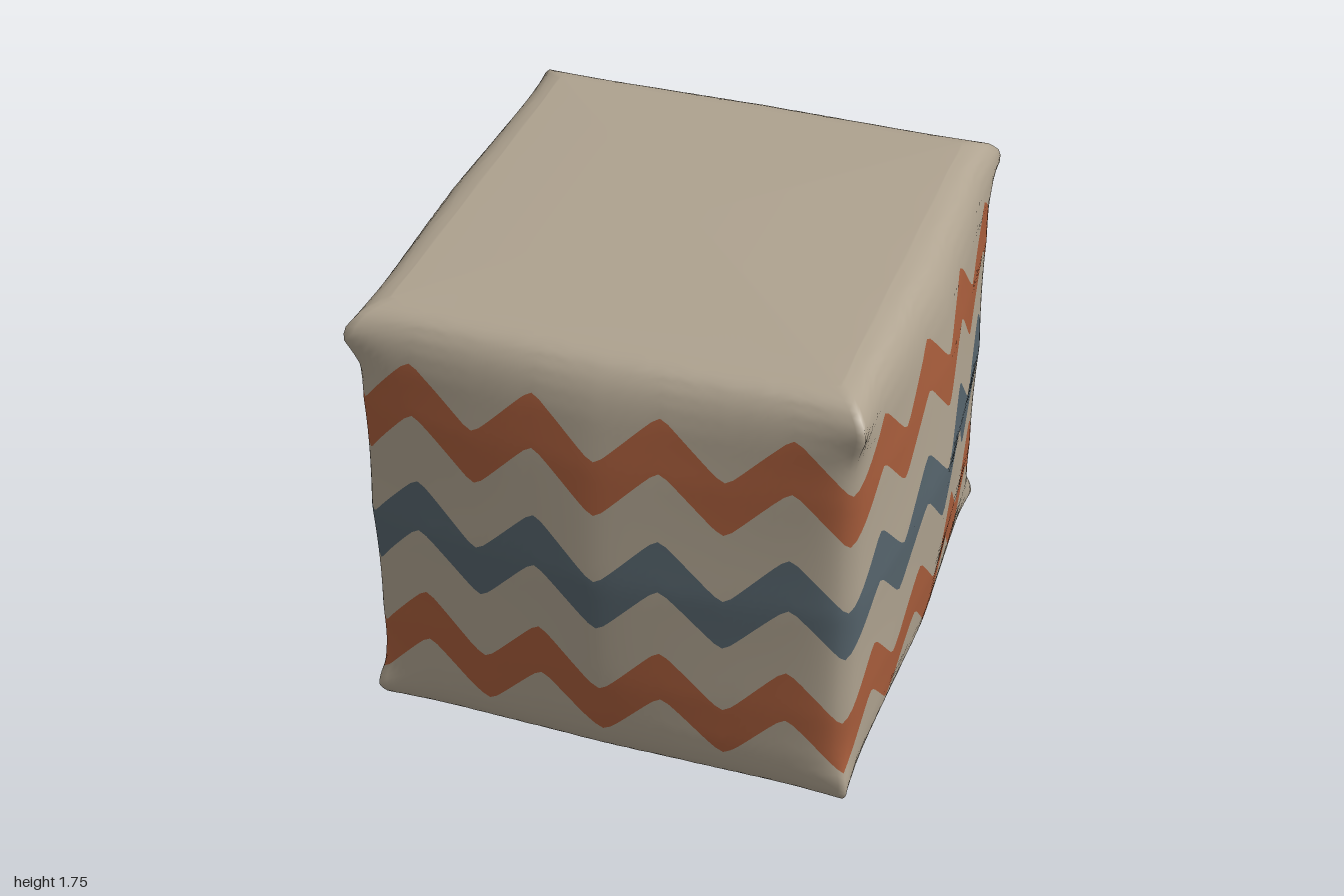
import * as THREE from 'three';

const HEIGHT = 1.74;
const COLS = 64; // columns per side face

// Half-width at the middle of a face, as [height, half-width]
const PROFILE = [
  [0, 0.80], [0.012, 0.845], [0.035, 0.875], [0.08, 0.905], [0.14, 0.928], [0.22, 0.945], [0.42, 0.967],
  [0.88, 0.99], [1.35, 0.967], [1.55, 0.945], [1.62, 0.928], [1.67, 0.905],
  [1.71, 0.87], [1.73, 0.83], [1.74, 0.78],
];

function faceWidth(y) {
  let i = 1;
  while (i < PROFILE.length - 1 && PROFILE[i][0] < y) i++;
  const [y0, w0] = PROFILE[i - 1], [y1, w1] = PROFILE[i];
  return THREE.MathUtils.lerp(w0, w1, THREE.MathUtils.clamp((y - y0) / (y1 - y0), 0, 1));
}

const bump = (y, centre, width) => Math.exp(-(((y - centre) / width) ** 2));

// Point on the stuffed cube: face 0-3 around, s from -1 to 1 across it
function bodyPoint(face, s, y) {
  const a = Math.abs(s);
  const middle = faceWidth(y);
  const pinch = 0.09 * Math.pow(Math.max(0, 1 - ((y - 0.87) / 0.87) ** 2), 0.7);
  const corner = middle - pinch;
  const round = Math.pow(1 + a ** 20, -1 / 20);
  const ear = 0.05 * a ** 12 * (bump(y, 1.66, 0.1) + bump(y, 0.07, 0.1));
  const tent = (Math.sqrt(a * a + 0.004) - 0.063) / 0.939;
  const u = s * corner * round + Math.sign(s) * ear;
  const v = THREE.MathUtils.lerp(middle, corner, tent) * round + ear;
  const [x, z] = [[u, v], [v, -u], [-u, -v], [-v, u]][face];
  return [x * 0.99, y, z * 1.01];
}

// Softened zigzag: 0 in the troughs, 1 on the peaks, four waves per face
function zigzag(s) {
  const k = 0.97;
  return 0.5 - 0.5 * Math.asin(k * Math.cos((s + 1) * 4 * Math.PI)) / Math.asin(k);
}

export function createModel() {
  const model = new THREE.Group();
  model.name = 'pouf';
  const material = (name, color) => new THREE.MeshStandardMaterial({ name, color });
  const beige = material('beigeFabric', 0xaea28f);
  const rust = material('rustFabric', 0xa65c3b);
  const slate = material('slateFabric', 0x55636b);

  // Strips from bottom to top; each edge is a [trough, peak] height pair
  const flat = (y) => [y, y];
  const edges = [
    flat(0), [0.165, 0.38], [0.38, 0.6], [0.67, 0.885], [0.885, 1.095],
    [1.16, 1.37], [1.375, 1.58], flat(HEIGHT),
  ];
  const strips = [
    ['lowerFabric', beige, 14, (t) => t * t],
    ['lowerZigzag', rust, 5], ['lowerGap', beige, 4],
    ['middleZigzag', slate, 5], ['upperGap', beige, 4],
    ['upperZigzag', rust, 5],
    ['upperFabric', beige, 14, (t) => 1 - (1 - t) ** 2],
  ];

  const positions = [];
  const ringSize = COLS * 4;
  let rings = 0;
  const addRing = (pointAt) => {
    for (let c = 0; c < ringSize; c++) {
      positions.push(...pointAt(Math.floor(c / COLS), -1 + (2 * (c % COLS)) / COLS));
    }
    rings++;
  };
  const ranges = [];

  // Bottom cap, from the centre out to the rim
  for (let i = 0; i < 6; i++) {
    addRing((f, s) => {
      const [x, , z] = bodyPoint(f, s, 0);
      return [x * i / 6, 0, z * i / 6];
    });
  }
  addRing((f, s) => bodyPoint(f, s, 0));
  ranges.push(['base', beige, 0, rings - 1]);

  // Side strips between the zigzag edges
  strips.forEach(([name, mat, rows, ease = (t) => t], i) => {
    const start = rings - 1;
    for (let r = 1; r <= rows; r++) {
      addRing((f, s) => {
        const wave = zigzag(s);
        const low = THREE.MathUtils.lerp(...edges[i], wave);
        const high = THREE.MathUtils.lerp(...edges[i + 1], wave);
        return bodyPoint(f, s, THREE.MathUtils.lerp(low, high, ease(r / rows)));
      });
    }
    ranges.push([name, mat, start, rings - 1]);
  });

  // Slightly domed top cap
  const topStart = rings - 1;
  for (let i = 7; i >= 0; i--) {
    addRing((f, s) => {
      const k = i / 8;
      const [x, , z] = bodyPoint(f, s, HEIGHT);
      return [x * k, HEIGHT + 0.012 * (1 - k * k), z * k];
    });
  }
  ranges.push(['seat', beige, topStart, rings - 1]);

  // Triangles between two rings
  const indexFor = (from, to) => {
    const index = [];
    for (let r = from; r < to; r++) {
      for (let c = 0; c < ringSize; c++) {
        const n = (c + 1) % ringSize;
        const a = r * ringSize + c, b = r * ringSize + n;
        const d = a + ringSize, e = b + ringSize;
        index.push(a, b, e, a, e, d);
      }
    }
    return index;
  };

  // Shared smooth normals across all parts
  const whole = new THREE.BufferGeometry();
  whole.setAttribute('position', new THREE.Float32BufferAttribute(positions, 3));
  whole.setIndex(indexFor(0, rings - 1));
  whole.computeVertexNormals();
  const normals = whole.attributes.normal;
  for (let c = 0; c < ringSize; c++) {
    normals.setXYZ(c, 0, -1, 0);
    normals.setXYZ((rings - 1) * ringSize + c, 0, 1, 0);
  }

  for (const [name, mat, from, to] of ranges) {
    const geometry = new THREE.BufferGeometry();
    geometry.setAttribute('position', whole.attributes.position);
    geometry.setAttribute('normal', normals);
    geometry.setIndex(indexFor(from, to));
    const mesh = new THREE.Mesh(geometry, mat);
    mesh.name = name;
    model.add(mesh);
  }
  return model;
}
